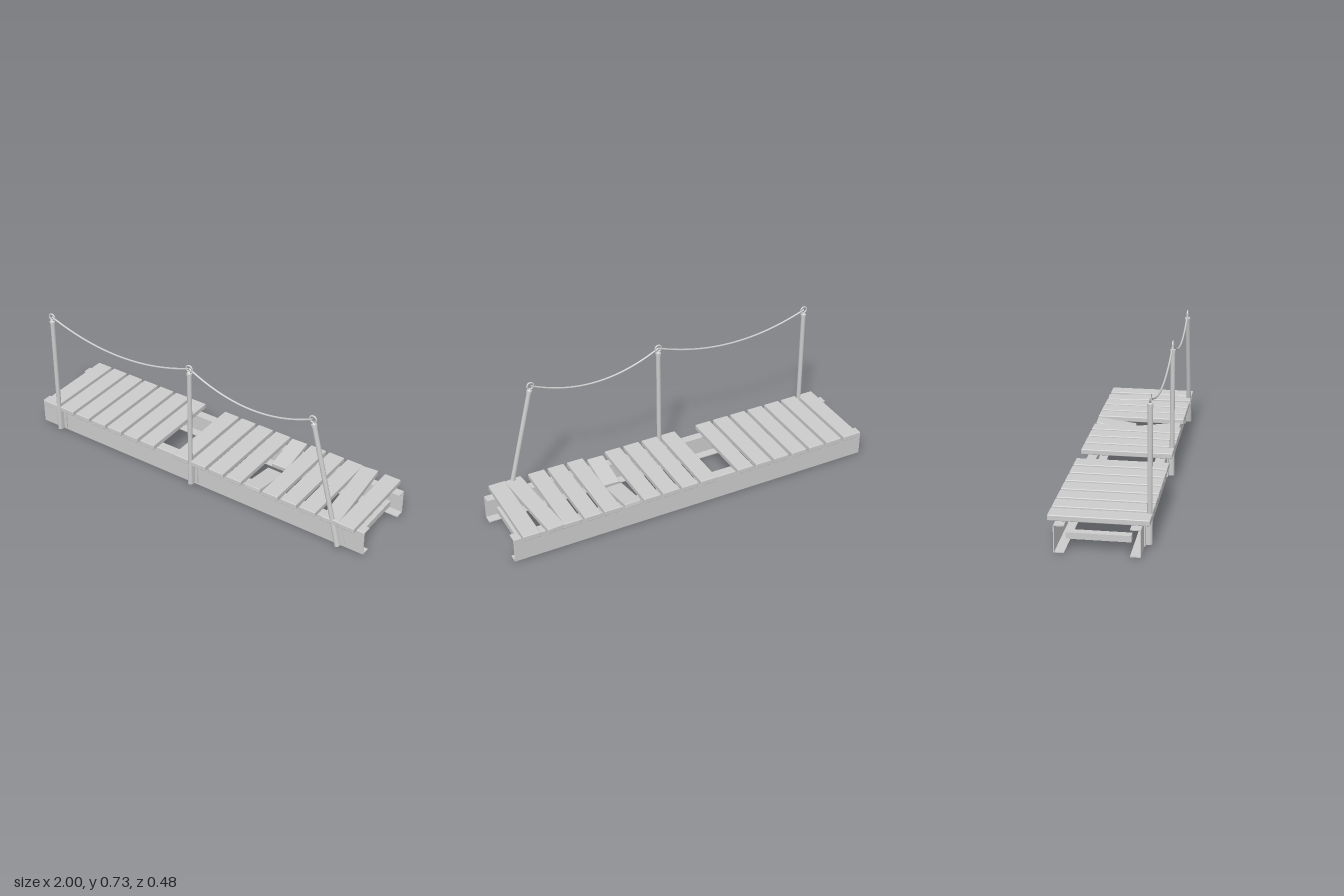
import * as THREE from 'three';
import { RoundedBoxGeometry } from 'three/addons/geometries/RoundedBoxGeometry.js';

const material = new THREE.MeshStandardMaterial({ color: 0xcccccc });
const POST_Z = 0.222;

function add(parent, name, geometry, x = 0, y = 0, z = 0) {
  const mesh = new THREE.Mesh(geometry, material);
  mesh.name = name;
  mesh.position.set(x, y, z);
  parent.add(mesh);
  return mesh;
}

// C-section beam along x, open towards the middle of the walkway
function channelGeometry() {
  const h = 0.135, w = 0.05, t = 0.005, c = 0.005;
  const s = new THREE.Shape();
  s.moveTo(c, 0);
  s.lineTo(w, 0);
  s.lineTo(w, t);
  s.lineTo(t, t);
  s.lineTo(t, h - t);
  s.lineTo(w, h - t);
  s.lineTo(w, h);
  s.lineTo(c, h);
  s.quadraticCurveTo(0, h, 0, h - c);
  s.lineTo(0, c);
  s.quadraticCurveTo(0, 0, c, 0);
  return new THREE.ExtrudeGeometry(s, { depth: 2, bevelEnabled: false, curveSegments: 4 })
    .translate(-0.2, 0, -1).rotateY(Math.PI / 2);
}

// Hat-shaped strap that clamps a post to the beam; outline lies in x-z
function bracketGeometry() {
  const s = new THREE.Shape();
  s.moveTo(-0.032, 0);
  s.lineTo(-0.032, -0.006);
  s.lineTo(-0.015, -0.006);
  s.lineTo(-0.014, -0.022);
  s.absarc(0, -0.022, 0.0135, Math.PI, Math.PI * 2, false);
  s.lineTo(0.015, -0.006);
  s.lineTo(0.032, -0.006);
  s.lineTo(0.032, 0);
  return new THREE.ExtrudeGeometry(s, { depth: 0.12, bevelEnabled: false, curveSegments: 12 })
    .rotateX(-Math.PI / 2).rotateY(0);
}

// Post with bracket, collars and eye ring; its origin is the foot
function createPost(name, x, lean) {
  const post = new THREE.Group();
  post.name = name;
  post.position.set(x, 0.013, POST_Z);
  post.rotation.z = lean;
  add(post, 'postTube', new THREE.CylinderGeometry(0.012, 0.012, 0.665, 20), 0, 0.3325);
  add(post, 'postBracket', bracketGeometry(), 0, 0, 0.2 - POST_Z);
  add(post, 'postCollar', new THREE.CylinderGeometry(0.0145, 0.0145, 0.012, 20), 0, 0.667);
  add(post, 'postCap', new THREE.CylinderGeometry(0.005, 0.012, 0.01, 20), 0, 0.677);
  add(post, 'eyeRing', new THREE.TorusGeometry(0.017, 0.0045, 10, 24), 0, 0.698);
  return post;
}

// Rope sagging between two points
function ropeGeometry(a, b, sag) {
  const mid = a.clone().add(b).multiplyScalar(0.5);
  mid.y -= 2 * sag;
  return new THREE.TubeGeometry(new THREE.QuadraticBezierCurve3(a, mid, b), 40, 0.005, 8);
}

export function createModel() {
  const model = new THREE.Group();
  model.name = 'walkway';

  // Side beams
  add(model, 'frontBeam', channelGeometry());
  add(model, 'backBeam', channelGeometry()).rotation.y = Math.PI;

  // Cross bars near both ends
  for (const side of [-1, 1]) {
    add(model, 'crossBar', new THREE.BoxGeometry(0.04, 0.031, 0.3), side * 0.935, 0.0675, 0);
  }

  // Deck planks: one missing, one snapped, one knocked askew
  const plank = new RoundedBoxGeometry(0.09, 0.028, 0.47, 2, 0.004);
  const half = new RoundedBoxGeometry(0.09, 0.025, 0.213, 2, 0.004);
  const missing = 7, broken = 12, askew = 16;
  for (let i = 0; i < 18; i++) {
    const x = -0.915 + i * 0.1077;
    if (i === missing) continue;
    if (i === broken) {
      add(model, 'brokenPlankFront', half, x, 0.13, 0.118).rotation.set(-0.14, -0.02, 0);
      add(model, 'brokenPlankBack', half, x, 0.139, -0.126).rotation.set(0.14, 0.04, 0);
      continue;
    }
    const mesh = add(model, 'plank', plank, x, 0.151, 0);
    if (i === askew) mesh.rotation.y = 0.09;
  }

  // Railing posts, the last one bent over
  const lean = 0.243;
  model.add(createPost('rightPost', -0.87, 0));
  model.add(createPost('middlePost', 0, 0));
  model.add(createPost('leaningPost', 0.87, lean));

  // Ropes between the rings
  const rings = [
    new THREE.Vector3(-0.87, 0.711, POST_Z),
    new THREE.Vector3(0, 0.711, POST_Z),
    new THREE.Vector3(0.87 - 0.698 * Math.sin(lean), 0.013 + 0.698 * Math.cos(lean), POST_Z),
  ];
  add(model, 'rightRope', ropeGeometry(rings[0], rings[1], 0.085));
  add(model, 'leftRope', ropeGeometry(rings[1], rings[2], 0.09));

  return model;
}
